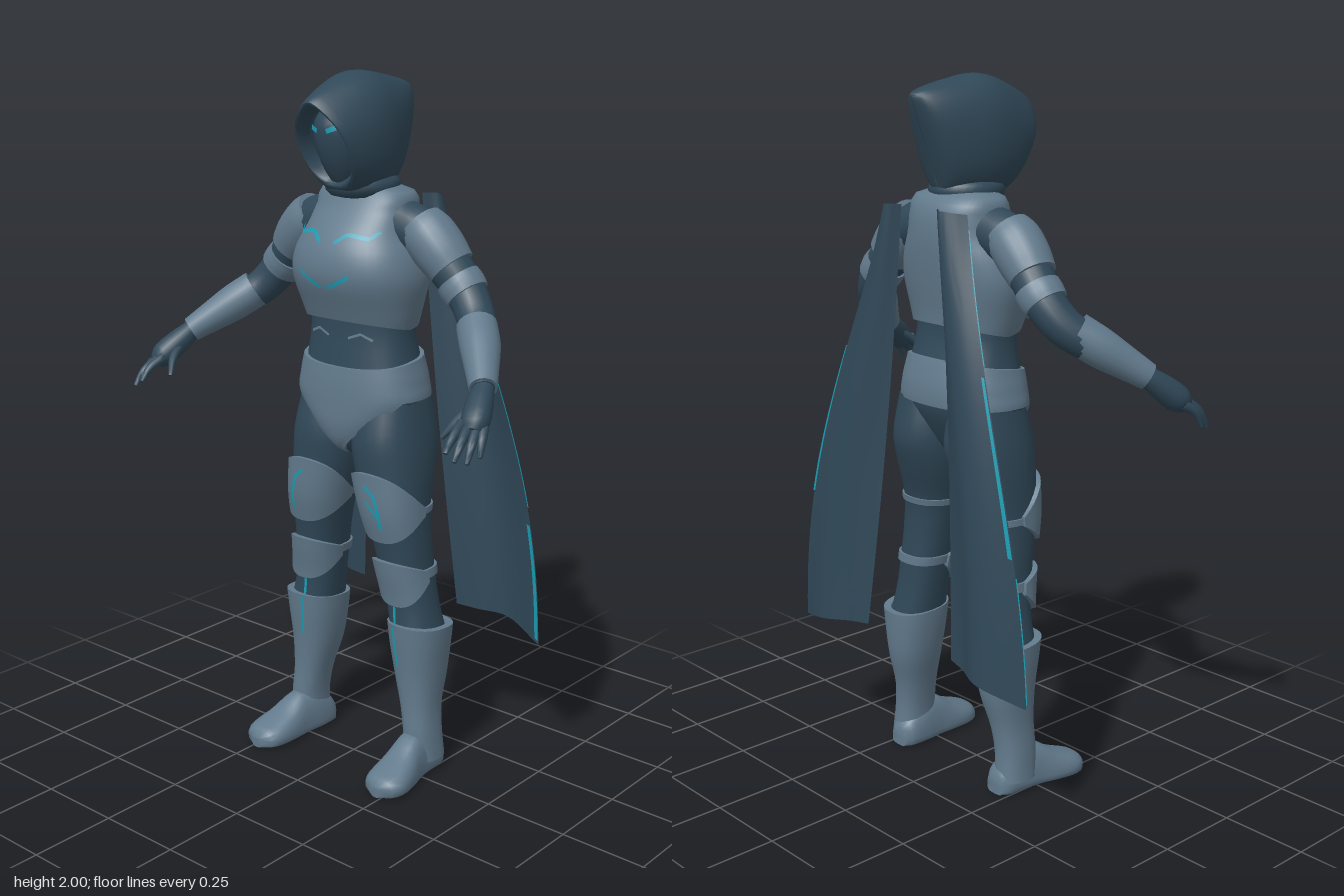
import * as THREE from 'three';
import { mergeVertices, toCreasedNormals } from 'three/addons/utils/BufferGeometryUtils.js';

const material = (name, color) => {
  const m = new THREE.MeshStandardMaterial({ color, side: THREE.DoubleSide });
  m.name = name;
  return m;
};

// Smooth interpolation through rows keyed by their first value
function rowAt(rows, t) {
  let i = 0;
  while (i < rows.length - 2 && t > rows[i + 1][0]) i++;
  const a = rows[i], b = rows[i + 1], p = rows[i - 1] || a, q = rows[i + 2] || b;
  const h = b[0] - a[0], s = Math.min(1, Math.max(0, (t - a[0]) / h));
  return a.map((v, k) => {
    const m0 = (b[k] - p[k]) / (b[0] - p[0]) * h, m1 = (q[k] - v) / (q[0] - a[0]) * h;
    return v * (2 * s ** 3 - 3 * s * s + 1) + m0 * (s ** 3 - 2 * s * s + s)
      + b[k] * (3 * s * s - 2 * s ** 3) + m1 * (s ** 3 - s * s);
  });
}

// Surface from a function f(u, v) -> [x, y, z]
function grid(f, nu, nv, crease = 0.9) {
  const pos = [], index = [];
  for (let j = 0; j <= nv; j++) for (let i = 0; i <= nu; i++) pos.push(...f(i / nu, j / nv));
  for (let j = 0; j < nv; j++) for (let i = 0; i < nu; i++) {
    const a = j * (nu + 1) + i, b = a + 1, c = b + nu + 1, d = a + nu + 1;
    index.push(a, b, c, a, c, d);
  }
  const g = new THREE.BufferGeometry();
  g.setAttribute('position', new THREE.Float32BufferAttribute(pos, 3));
  g.setIndex(index);
  return toCreasedNormals(mergeVertices(g, 1e-5), crease);
}

const pow = (v, e) => Math.sign(v) * Math.abs(v) ** e;

// Point on a column; rows are [y, cx, cz, rx, frontDepth, backDepth], angle 0 faces front
function onColumn(col, a, y, off) {
  const [, cx, cz, rx, f, b] = rowAt(col, y);
  const c = Math.cos(a);
  return [cx + (rx + off) * pow(Math.sin(a), 0.85), y, cz + ((c > 0 ? f : b) + off) * pow(c, 0.85)];
}

// Plate wrapped on a column, with its rim turned inward
function plate(col, lo, hi, half = Math.PI, off = 0, nu = 36, nv = 14, rim = -0.004) {
  const full = half === Math.PI;
  return grid((u, v) => {
    const uu = full ? u : Math.min(1, Math.max(0, (u * nu - 1) / (nu - 2)));
    const vv = Math.min(1, Math.max(0, (v * nv - 1) / (nv - 2)));
    const edge = v === 0 || v === 1 || (!full && (u === 0 || u === 1));
    const a = (uu * 2 - 1) * half, y0 = lo(a), y1 = hi(a);
    return onColumn(col, a, y0 + (y1 - y0) * vv, edge ? rim : off);
  }, nu, nv);
}

// Thin painted line of [x, y] points on the front of a column
function line(col, pts, off = 0.006, w = 0.01) {
  const n = 16, path = new THREE.CurvePath();
  const v = pts.map(p => new THREE.Vector2(...p));
  for (let i = 1; i < v.length; i++) path.add(new THREE.LineCurve(v[i - 1], v[i]));
  return grid((u, t) => {
    const p = path.getPointAt(u), d = path.getTangentAt(u);
    const x = p.x - d.y * (t - 0.5) * w, y = p.y + d.x * (t - 0.5) * w;
    const [, cx, , rx] = rowAt(col, y);
    const s = Math.max(-1, Math.min(1, (x - cx) / (rx + off)));
    return onColumn(col, Math.asin(pow(s, 1 / 0.85)), y, off);
  }, n, 1);
}

// Round limb through points [x, y, z, radius], closed at both ends
function limb(pts, nv = 14, nu = 14) {
  const curve = new THREE.CatmullRomCurve3(pts.map(p => new THREE.Vector3(p[0], p[1], p[2])));
  const radii = pts.map((p, i) => [i / (pts.length - 1), p[3]]);
  const ref = new THREE.Vector3(1, 1, 0);
  return grid((u, v) => {
    const t = Math.min(1, Math.max(0, (v * nv - 1) / (nv - 2)));
    const r = v === 0 || v === 1 ? 0 : rowAt(radii, t)[1];
    const T = curve.getTangent(t), A = T.clone().cross(ref).normalize(), B = T.clone().cross(A);
    const p = curve.getPoint(t).addScaledVector(A, r * Math.cos(u * 2 * Math.PI))
      .addScaledVector(B, r * Math.sin(u * 2 * Math.PI));
    return p.toArray();
  }, nu, nv);
}

// Mirrored copy across x with its faces turned back outward
function mirrored(geo) {
  const g = geo.clone().scale(-1, 1, 1);
  for (const name of ['position', 'normal']) {
    const a = g.attributes[name];
    for (let i = 0; i < a.count; i += 3) {
      const p = [a.getX(i), a.getY(i), a.getZ(i)];
      a.setXYZ(i, a.getX(i + 1), a.getY(i + 1), a.getZ(i + 1));
      a.setXYZ(i + 1, ...p);
    }
  }
  return g;
}

export function createModel() {
  const model = new THREE.Group();
  const cloth = material('dark cloth', 0x304858);
  const armour = material('grey armour', 0x627a8c);
  const glow = material('cyan trim', 0x1a9cb2);
  const add = (name, geo, mat) => {
    const m = new THREE.Mesh(geo, mat);
    m.name = name;
    model.add(m);
  };
  const pair = (name, geo, mat) => {
    add(name + 'Left', geo, mat);
    add(name + 'Right', mirrored(geo), mat);
  };
  const at = y => () => y;

  // Waist, pelvis and hip guard
  const pelvis = [[0.93, 0, -0.03, 0.01, 0.02, 0.02], [0.96, 0, -0.03, 0.05, 0.075, 0.07],
    [1.02, 0, -0.03, 0.12, 0.102, 0.11], [1.1, 0, -0.04, 0.19, 0.116, 0.135], [1.16, 0, -0.04, 0.186, 0.114, 0.138],
    [1.22, 0, -0.04, 0.173, 0.108, 0.125], [1.3, 0, -0.04, 0.163, 0.1, 0.1], [1.38, 0, -0.04, 0.17, 0.1, 0.1]];
  add('waist', plate(pelvis, at(0.93), at(1.38), Math.PI, 0, 36, 20), cloth);
  add('hipGuard', plate(pelvis, a => 0.945 + 0.17 * Math.min(1, Math.abs(a) / 1.15) ** 1.1,
    a => 1.222 - 0.02 * Math.cos(a), Math.PI, 0.011, 48, 14), armour);

  // Chest armour
  const chest = [[1.3, 0, -0.04, 0.168, 0.105, 0.105], [1.36, 0, -0.04, 0.185, 0.13, 0.11],
    [1.45, 0, -0.04, 0.204, 0.165, 0.125], [1.52, 0, -0.04, 0.192, 0.16, 0.135], [1.58, 0, -0.045, 0.162, 0.136, 0.135],
    [1.64, 0, -0.055, 0.15, 0.1, 0.12], [1.68, 0, -0.055, 0.142, 0.08, 0.1], [1.7, 0, -0.05, 0.08, 0.055, 0.065]];
  add('chestArmour', plate(chest, a => 1.31 + 0.024 * Math.abs(Math.cos(a)), at(1.7), Math.PI, 0, 48, 22, -0.025), armour);
  pair('upperChestTrim', line(chest, [[0.135, 1.585], [0.12, 1.567], [0.06, 1.577], [0.025, 1.552]]), glow);
  pair('lowerChestTrim', line(chest, [[0.085, 1.468], [0.055, 1.45], [0.012, 1.43]]), glow);
  pair('waistTrim', line(pelvis, [[0.11, 1.285], [0.075, 1.3], [0.035, 1.285]], 0.006, 0.007), armour);

  // Neck cowl, hood and mask
  const cowl = new THREE.TorusGeometry(0.07, 0.033, 12, 32).rotateX(Math.PI / 2).scale(1, 0.95, 1.05);
  add('neckCowl', cowl.translate(0, 1.695, -0.037), cloth);
  // Hood rows: step, top z, top y, bottom z, bottom y, half width, narrowing at the peak
  const hood = [[0, 0.13, 1.9, 0.045, 1.73, 0.075, 0.5], [1, 0.183, 1.925, 0.075, 1.7, 0.088, 0.5],
    [2, 0.1, 1.97, 0.045, 1.675, 0.108, 0.25], [3, 0, 2, -0.02, 1.665, 0.114, 0], [4, -0.1, 1.988, -0.07, 1.67, 0.102, 0],
    [5, -0.185, 1.97, -0.115, 1.68, 0.075, 0], [5.8, -0.227, 1.956, -0.133, 1.685, 0.04, 0], [6, -0.234, 1.95, -0.136, 1.69, 0.001, 0]];
  add('hood', grid((u, v) => {
    const [, tz, ty, bz, by, w, peak] = rowAt(hood, v * 6), a = u * 2 * Math.PI, k = pow(Math.cos(a), 0.85), c = (1 + k) / 2;
    return [w * pow(Math.sin(a), 0.85) * (1 - peak * Math.max(0, k) ** 2), by + (ty - by) * c, bz + (tz - bz) * c];
  }, 36, 30), cloth);
  const face = [[1.7, 0, 0.01, 0.035, 0.055, 0.04], [1.75, 0, 0.01, 0.06, 0.088, 0.07], [1.82, 0, 0.01, 0.076, 0.112, 0.08],
    [1.88, 0, 0.01, 0.07, 0.112, 0.08], [1.93, 0, 0.01, 0.03, 0.06, 0.05]];
  add('faceMask', plate(face, at(1.7), at(1.93), Math.PI, 0, 28, 14, -0.03), cloth);
  pair('eye', line(face, [[0.016, 1.848], [0.042, 1.858]], 0.006, 0.013), glow);

  // Arms with shoulder, elbow and forearm guards
  pair('arm', limb([[0.13, 1.595, -0.06, 0.068], [0.2, 1.57, -0.06, 0.067], [0.27, 1.505, -0.065, 0.062], [0.335, 1.43, -0.07, 0.056],
    [0.39, 1.365, -0.045, 0.052], [0.46, 1.305, 0.03, 0.046], [0.535, 1.235, 0.12, 0.03]], 28, 18), cloth);
  pair('shoulderGuard', limb([[0.185, 1.598, -0.06, 0.066], [0.215, 1.572, -0.06, 0.074], [0.255, 1.53, -0.063, 0.073],
    [0.288, 1.492, -0.067, 0.066]], 12, 20), armour);
  pair('elbowBand', limb([[0.306, 1.463, -0.069, 0.063], [0.323, 1.443, -0.07, 0.065], [0.34, 1.424, -0.069, 0.062]], 6, 20), armour);
  pair('forearmGuard', limb([[0.405, 1.355, -0.025, 0.055], [0.45, 1.315, 0.02, 0.054], [0.495, 1.273, 0.072, 0.045],
    [0.533, 1.237, 0.117, 0.037]], 12, 18), armour);

  // Hands
  pair('palm', limb([[0.533, 1.238, 0.115, 0.028], [0.55, 1.205, 0.155, 0.036], [0.57, 1.168, 0.2, 0.037],
    [0.578, 1.15, 0.22, 0.022]], 10, 12), cloth);
  const fingers = [[0.545, 1.17, 0.22, 0.555, 1.11, 0.3], [0.567, 1.16, 0.225, 0.583, 1.093, 0.3],
    [0.585, 1.155, 0.215, 0.604, 1.086, 0.276], [0.595, 1.16, 0.195, 0.617, 1.097, 0.24],
    [0.535, 1.2, 0.16, 0.497, 1.125, 0.24]];
  fingers.forEach(([x, y, z, X, Y, Z], i) => pair(i < 4 ? 'finger' + (i + 1) : 'thumb',
    limb([[x, y, z, 0.014], [(x + X) / 2 + 0.004, (y + Y) / 2 + 0.006, (z + Z) / 2 + 0.006, 0.012], [X, Y, Z, 0.006]], 8, 8), cloth));

  // Legs with thigh and knee guards
  const leg = [[0.44, 0.19, -0.06, 0.072, 0.08, 0.08], [0.52, 0.175, -0.055, 0.07, 0.072, 0.075],
    [0.62, 0.16, -0.05, 0.072, 0.085, 0.075], [0.7, 0.15, -0.04, 0.078, 0.088, 0.08], [0.8, 0.135, -0.03, 0.088, 0.1, 0.095],
    [0.92, 0.116, -0.045, 0.103, 0.122, 0.12], [1, 0.108, -0.05, 0.103, 0.13, 0.137], [1.12, 0.105, -0.05, 0.085, 0.1, 0.12]];
  pair('leg', plate(leg, at(0.44), at(1.12), Math.PI, 0, 28, 24), cloth);
  pair('thighGuard', plate(leg, a => 0.715 + 0.028 * a * a, a => 0.915 - 0.04 * a * a, 1.6, 0.012, 24, 12), armour);
  pair('thighStrap', plate(leg, at(0.79), at(0.808), Math.PI, 0.006, 28, 4), armour);
  pair('kneeGuard', plate(leg, a => 0.52 + 0.032 * a * a, a => 0.655 - 0.014 * a * a, 1.5, 0.014, 24, 10), armour);
  pair('kneeStrap', plate(leg, at(0.6), at(0.625), Math.PI, 0.007, 28, 4), armour);
  pair('thighTrim', line(leg, [[0.115, 0.882], [0.148, 0.855], [0.162, 0.8], [0.164, 0.755]], 0.017, 0.01), glow);
  add('thighTrimBranchLeft', line(leg, [[0.12, 0.835], [0.145, 0.81], [0.16, 0.79]], 0.017, 0.008), glow);

  // Boots
  const boot = [[0.04, 0.225, -0.06, 0.05, 0.065, 0.06], [0.12, 0.22, -0.055, 0.048, 0.065, 0.06],
    [0.2, 0.21, -0.055, 0.052, 0.062, 0.068], [0.3, 0.2, -0.065, 0.068, 0.078, 0.084], [0.4, 0.197, -0.065, 0.082, 0.09, 0.094],
    [0.465, 0.197, -0.065, 0.088, 0.097, 0.097]];
  pair('bootShaft', plate(boot, at(0.04), a => 0.452 + 0.01 * Math.cos(a), Math.PI, 0, 28, 18, -0.02), armour);
  pair('bootTrim', line(boot, [[0.175, 0.455], [0.178, 0.4], [0.184, 0.335]], 0.006, 0.009), glow);
  pair('shinTrim', line(leg, [[0.17, 0.515], [0.174, 0.455]], 0.006, 0.009), glow);
  // Foot rows: z, centre x, half width, height
  const foot = [[-0.126, 0.212, 0.03, 0.06], [-0.11, 0.212, 0.044, 0.08], [-0.05, 0.214, 0.05, 0.125], [0.01, 0.22, 0.052, 0.126],
    [0.07, 0.228, 0.062, 0.09], [0.13, 0.234, 0.065, 0.064], [0.165, 0.234, 0.048, 0.05], [0.18, 0.234, 0.016, 0.035]];
  pair('foot', grid((u, v) => {
    const t = Math.min(1, Math.max(0, (v * 20 - 1) / 18)), k = v === 0 || v === 1 ? 0.02 : 1;
    const [z, cx, w, h] = rowAt(foot, -0.126 + 0.306 * t), a = u * 2 * Math.PI, s = Math.sin(a);
    const y = s > 0 ? 0.025 + (h - 0.025) * k * s : 0.025 + 0.025 * k * pow(s, 0.4);
    return [cx + w * k * pow(Math.cos(a), 0.7), y, z];
  }, 24, 20), armour);

  // Cape halves: columns [u, x, z, y] along the top and bottom edges
  const capeTop = [[0, 0.075, -0.205, 1.66], [0.35, 0.105, -0.235, 1.66], [0.7, 0.14, -0.215, 1.655], [1, 0.165, -0.185, 1.65]];
  const capeEnd = [[0, 0.18, -0.262, 0.44], [0.3, 0.245, -0.278, 0.435], [0.62, 0.335, -0.308, 0.425], [1, 0.475, -0.262, 0.39]];
  const cape = (u, v, dz = 0) => {
    const t = rowAt(capeTop, u), b = rowAt(capeEnd, u), bow = Math.sin(Math.PI * v);
    return [t[1] + (b[1] - t[1]) * v + 0.082 * u * v * bow, t[3] + (b[3] - t[3]) * v,
      t[2] + (b[2] - t[2]) * v + (0.012 - 0.042 * u) * bow + dz];
  };
  pair('cape', grid((u, v) => cape(u, v), 16, 24), cloth);
  // Cyan cape edging: name, start, end, width, offset
  for (const [name, v0, v1, w, dz] of [['capeTrimFront', 0.72, 0.99, 0.04, 0.004], ['capeTrimUpper', 0.03, 0.3, 0.04, 0.004],
    ['capeTrimBack', 0.32, 0.68, 0.04, -0.004]])
    pair(name, grid((u, v) => cape(1 - w + w * u, v0 + (v1 - v0) * v, dz), 1, 20), glow);
  return model;
}
